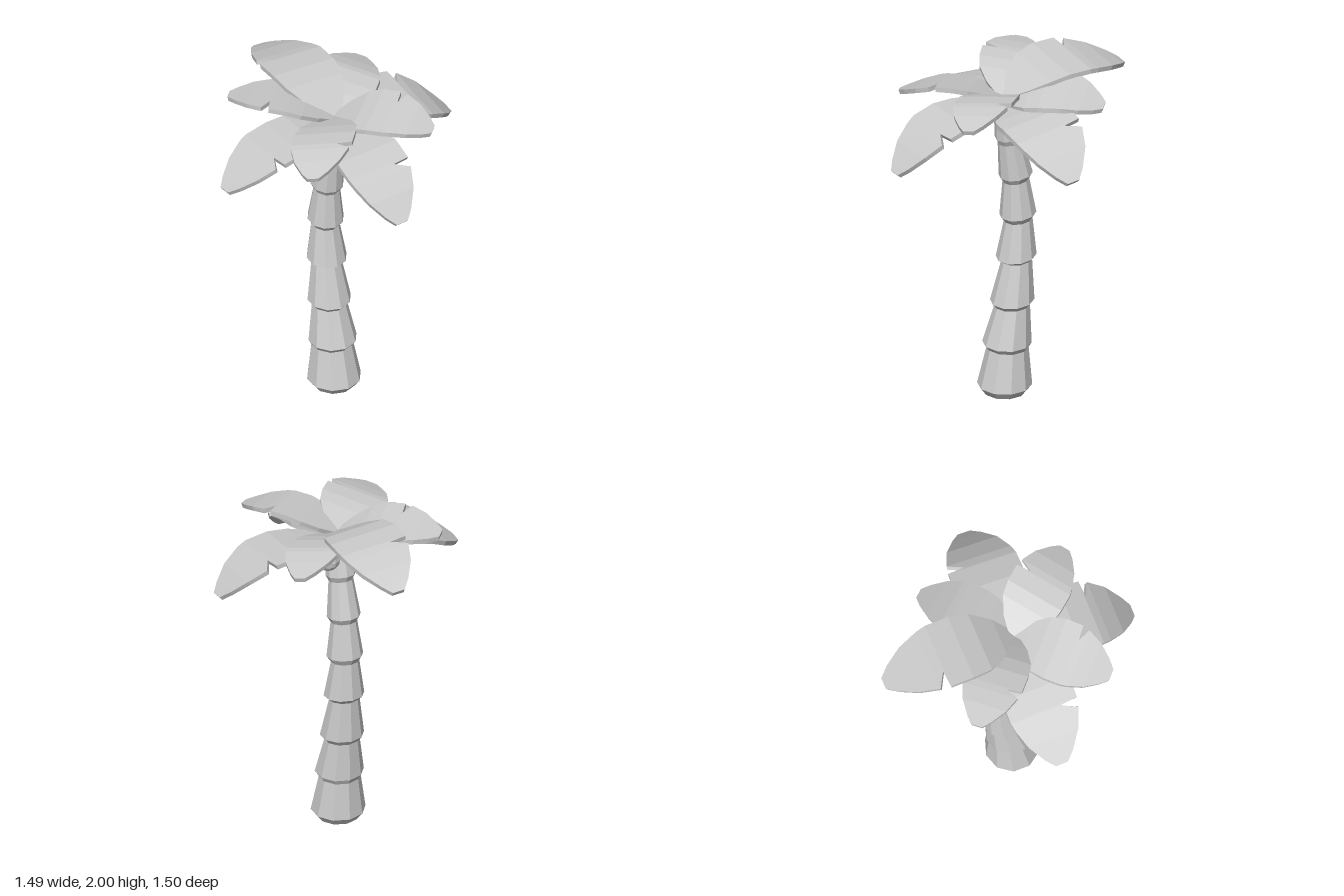
import * as THREE from 'three';

const material = new THREE.MeshStandardMaterial({ color: 0xcccccc, flatShading: true });

// Closed solid through a series of rings (right-handed about the direction of travel)
function loft(rings) {
  const n = rings[0].length, index = [];
  rings.slice(1).forEach((_, i) => {
    for (let j = 0; j < n; j++) {
      const a = i * n + j, b = i * n + (j + 1) % n;
      index.push(a, b, b + n, a, b + n, a + n);
    }
  });
  const last = (rings.length - 1) * n;
  for (let j = 1; j < n - 1; j++) index.push(0, j + 1, j, last, last + j, last + j + 1);
  const indexed = new THREE.BufferGeometry().setFromPoints(rings.flat());
  indexed.setIndex(index);
  const geometry = indexed.toNonIndexed();
  geometry.computeVertexNormals();
  return geometry;
}

function add(parent, geometry, name) {
  const mesh = new THREE.Mesh(geometry, material);
  mesh.name = name;
  parent.add(mesh);
  return mesh;
}

// Curved trunk of stacked flared segments: [y, z, radius, slope]
function makeTrunk() {
  const sections = [
    [0, 0.02, 0.12, 0], [0.045, 0.02, 0.155, 0], [0.27, 0, 0.118, 0],
    [0.3, 0.005, 0.139, 0], [0.525, -0.03, 0.1, 0.05],
    [0.555, -0.03, 0.125, 0.06], [0.8, -0.06, 0.086, 0.1],
    [0.825, -0.056, 0.115, 0.11], [1.05, -0.07, 0.08, 0.13],
    [1.085, -0.067, 0.104, 0.13], [1.3, -0.054, 0.075, 0.15],
    [1.335, -0.053, 0.096, 0.15], [1.55, -0.016, 0.07, 0.2],
    [1.585, -0.015, 0.086, 0.2], [1.8, 0.02, 0.062, 0.1],
  ];
  const sides = 10;
  return loft(sections.map(([y, z, r, slope]) =>
    Array.from({ length: sides }, (_, j) => {
      const a = ((j + 0.5) / sides) * Math.PI * 2;
      const dz = -r * Math.sin(a);
      return new THREE.Vector3(-0.01 + r * Math.cos(a), y - slope * dz, z + dz);
    })));
}

// Leaf outline: [fraction of length, plain side width, notched side width]
const outline = [
  [0, 0.2, 0.2], [0.12, 0.6, 0.6], [0.28, 0.92, 0.92], [0.42, 1, 1],
  [0.585, 1, 1], [0.595, 0.99, 0.5], [0.655, 0.94, 0.94],
  [0.8, 0.74, 0.74], [0.93, 0.42, 0.42], [1, 0.18, 0.18],
];

// Leaf running along +z, bent along a side profile of [distance, height]
function makeLeaf(profile, halfWidth, roll) {
  const curve = new THREE.SplineCurve(profile.map(p => new THREE.Vector2(...p)));
  const thickness = 0.028;
  return loft(outline.map(([t, plain, notched]) => {
    const p = curve.getPointAt(t), d = curve.getTangentAt(t);
    const corner = (x, drop) => new THREE.Vector3(
      x * halfWidth, p.y - d.x * drop + roll * x * halfWidth, p.x + d.y * drop);
    return [corner(-plain, thickness), corner(notched, thickness),
      corner(notched, 0), corner(-plain, 0)];
  }));
}

// Coconut with three small eyes facing +z
function makeCoconut() {
  const coconut = new THREE.Group();
  add(coconut, new THREE.SphereGeometry(0.07, 10, 8), 'coconutShell');
  for (let i = 0; i < 3; i++) {
    const a = Math.PI / 2 + (i * Math.PI * 2) / 3;
    const dir = new THREE.Vector3(0.4 * Math.cos(a), 0.4 * Math.sin(a), 0.9).normalize();
    const eye = add(coconut, new THREE.CylinderGeometry(0.014, 0.016, 0.012, 8), 'coconutEye');
    eye.position.copy(dir).multiplyScalar(0.067);
    eye.quaternion.setFromUnitVectors(new THREE.Vector3(0, 1, 0), dir);
  }
  return coconut;
}

export function createModel() {
  const palm = new THREE.Group();
  palm.name = 'palmTree';
  add(palm, makeTrunk(), 'trunk');

  // Leaves: name, heading in degrees, half width, roll, profile
  const leaves = [
    ['leftLeaf', 90, 0.205, 0.13, [[0, 1.8], [0.2, 1.83], [0.42, 1.83], [0.6, 1.75], [0.755, 1.61]]],
    ['rightLeaf', -90, 0.2, 0.08, [[0, 1.81], [0.22, 1.83], [0.45, 1.785], [0.57, 1.725], [0.73, 1.61]]],
    ['frontLeaf', 0, 0.195, 0.03, [[0, 1.82], [0.2, 1.81], [0.39, 1.79], [0.51, 1.73], [0.6, 1.66], [0.715, 1.535]]],
    ['backLeaf', 180, 0.2, 0.08, [[0, 1.84], [0.17, 1.945], [0.345, 1.985], [0.485, 1.975], [0.67, 1.92], [0.785, 1.86]]],
    ['backRightLeaf', -132, 0.175, 0.12, [[0, 1.84], [0.2, 1.93], [0.4, 1.95], [0.6, 1.92]]],
    ['backLeftLeaf', 133, 0.175, 0.22, [[0, 1.83], [0.2, 1.9], [0.38, 1.915], [0.59, 1.85]]],
    ['frontRightLeaf', -44, 0.175, 0.22, [[0, 1.84], [0.2, 1.89], [0.38, 1.89], [0.59, 1.82]]],
    ['frontLeftLeaf', 39, 0.17, 0.15, [[0, 1.84], [0.2, 1.93], [0.4, 1.94], [0.585, 1.88]]],
  ];
  for (const [name, heading, halfWidth, roll, profile] of leaves) {
    const leaf = add(palm, makeLeaf(profile, halfWidth, roll), name);
    leaf.position.set(-0.015, 0, 0.03);
    leaf.rotation.y = THREE.MathUtils.degToRad(heading);
  }

  // Coconuts hanging behind the trunk
  for (const side of [1, -1]) {
    const coconut = makeCoconut();
    coconut.name = side > 0 ? 'leftCoconut' : 'rightCoconut';
    coconut.position.set(side * 0.11, 1.755, -0.1);
    coconut.rotation.set(0, side * Math.PI * 0.77, 0);
    palm.add(coconut);
  }
  return palm;
}
